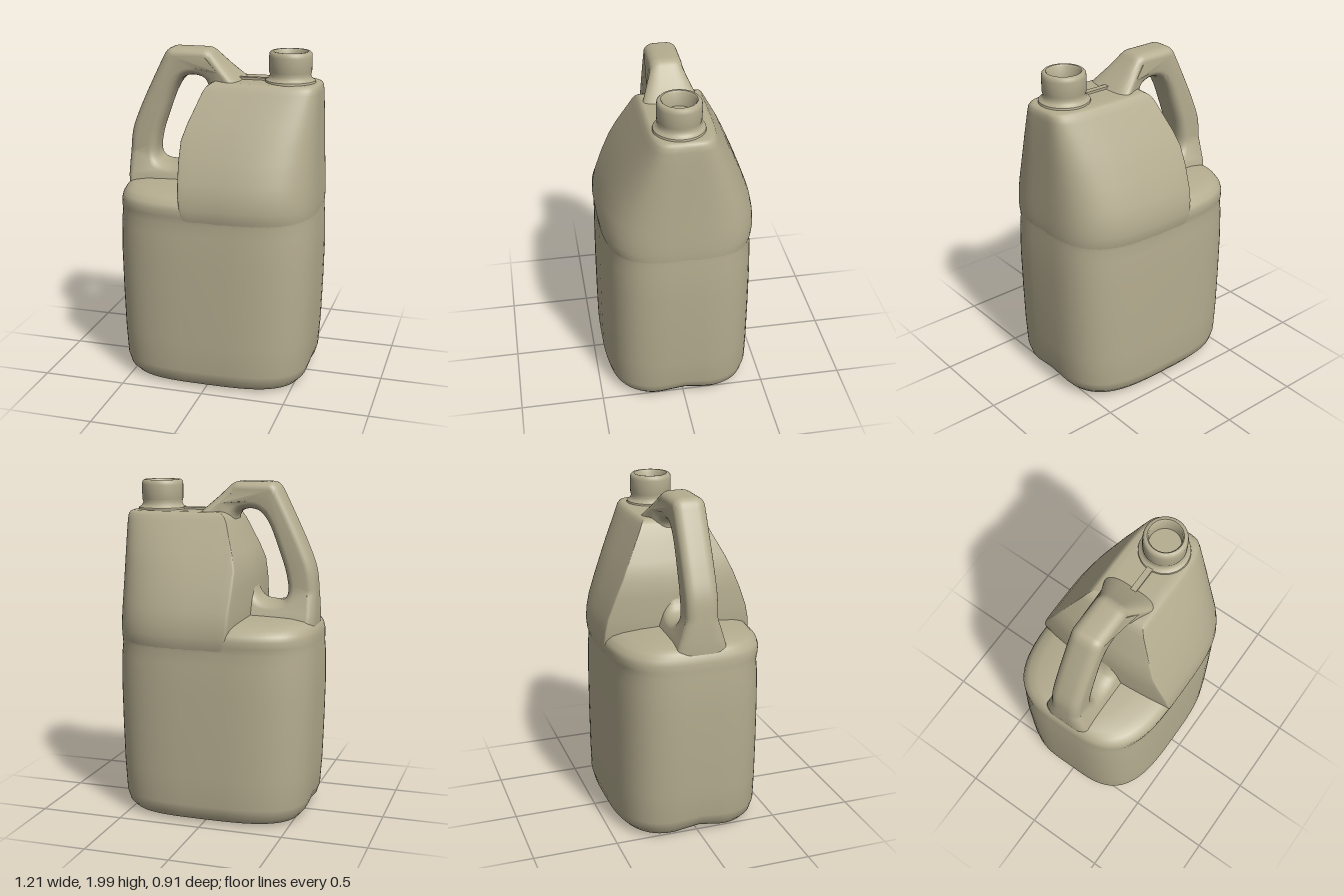
import * as THREE from 'three';
import { toCreasedNormals } from 'three/addons/utils/BufferGeometryUtils.js';

const V = (pts) => pts.map(([x, y]) => new THREE.Vector2(x, y));

// Closed loft through rings of { y, hx, hz, n }, each a superellipse; shape(p, ring) may adjust a point
function loft(rings, shape, seg = 72) {
  const pos = [], index = [];
  const p = new THREE.Vector3();
  const pow = (v, n) => Math.sign(v) * Math.abs(v) ** (2 / n);
  rings.forEach((r, i) => {
    for (let j = 0; j < seg; j++) {
      const t = (j / seg) * Math.PI * 2;
      p.set(r.hx * pow(Math.cos(t), r.n), r.y, r.hz * pow(Math.sin(t), r.n));
      shape(p, r);
      pos.push(p.x, p.y, p.z);
      if (i === rings.length - 1) continue;
      const a = i * seg + j, b = i * seg + (j + 1) % seg;
      index.push(a, a + seg, b, b, a + seg, b + seg);
    }
  });
  const g = new THREE.BufferGeometry();
  g.setAttribute('position', new THREE.Float32BufferAttribute(pos, 3));
  g.setIndex(index);
  g.computeVertexNormals();
  return g;
}

export function createModel() {
  const group = new THREE.Group();
  const plastic = new THREE.MeshStandardMaterial({ color: 0xb5ad90 });
  plastic.name = 'beige plastic';
  const add = (name, geo) => {
    const m = new THREE.Mesh(geo, plastic);
    m.name = name;
    group.add(m);
    return m;
  };

  // Lower body with rounded base and a gently domed shelf
  const lower = [
    [0.015, 0, 0], [0.01, 0.3, 0.22], [0.01, 0.48, 0.36], [0.025, 0.53, 0.405], [0.06, 0.56, 0.435],
    [0.12, 0.578, 0.45], [0.3, 0.59, 0.452], [0.55, 0.598, 0.452], [0.8, 0.603, 0.45], [0.97, 0.6, 0.446],
    [1.04, 0.594, 0.44], [1.08, 0.594, 0.448], [1.12, 0.592, 0.452], [1.15, 0.585, 0.442],
    [1.18, 0.568, 0.41], [1.2, 0.54, 0.35], [1.215, 0.47, 0.25], [1.225, 0.3, 0.12], [1.225, 0, 0],
  ].map(([y, hx, hz]) => ({ y, hx, hz, n: 3.3 }));
  add('lowerBody', loft(lower, (p) => {
    // shallow arch under each narrow end
    const fade = Math.max(0, 1 - p.y / 0.25);
    p.y += 0.04 * fade * Math.exp(-((p.z / 0.13) ** 2)) * (p.x / 0.55) ** 2;
  }));

  // Upper body: tapers front to back, cut away on the handle side at x0
  const upper = [
    [1.04, 0.59, 0.438, 3.3, -0.16], [1.08, 0.594, 0.45, 3.3, -0.18], [1.13, 0.596, 0.456, 3.3, -0.19],
    [1.2, 0.595, 0.45, 3.3, -0.2], [1.28, 0.593, 0.433, 3.3, -0.2], [1.4, 0.59, 0.388, 3.4, -0.198],
    [1.51, 0.588, 0.34, 3.6, -0.188], [1.6, 0.586, 0.297, 3.9, -0.155], [1.7, 0.584, 0.244, 4.4, -0.11],
    [1.77, 0.581, 0.207, 5, -0.08], [1.8, 0.577, 0.19, 5.4, -0.06], [1.815, 0.567, 0.177, 5.6, -0.04],
    [1.823, 0.55, 0.162, 5.6, -0.02], [1.825, 0.5, 0.12, 5.6, 0], [1.825, 0, 0, 5.6, 0],
  ].map(([y, hx, hz, n, x0]) => ({ y, hx, hz, n, x0 }));
  add('upperBody', loft(upper, (p, r) => {
    // smooth maximum rounds the cut corner
    const cut = r.x0 + 0.25 * p.z * p.z, d = p.x - cut;
    if (r.hx > 0) p.x = cut + (d + Math.sqrt(d * d + 0.0012)) / 2 - (d < 0 ? 0.006 : 0.006 * Math.max(0, 1 - d * 8));
    if (p.x > r.hx) p.x = r.hx;
  }, 120));

  // Handle: rounded slab with a finger hole, ramping down onto the top
  const outer = new THREE.Shape();
  outer.moveTo(0.13, 1.815);
  outer.lineTo(0.13, 1.1);
  outer.lineTo(-0.57, 1.1);
  outer.lineTo(-0.58, 1.22);
  outer.splineThru(V([[-0.575, 1.36], [-0.558, 1.5], [-0.505, 1.64], [-0.425, 1.81], [-0.355, 1.95]]));
  outer.quadraticCurveTo(-0.33, 2, -0.29, 2);
  outer.lineTo(-0.11, 2);
  outer.quadraticCurveTo(-0.07, 2, -0.045, 1.97);
  outer.lineTo(0.02, 1.908);
  outer.lineTo(0.1, 1.838);
  const hole = new THREE.Path();
  const holePts = [[-0.405, 1.35], [-0.38, 1.313], [-0.25, 1.313], [-0.2, 1.39], [-0.188, 1.51], [-0.135, 1.64],
    [-0.08, 1.765], [-0.1, 1.82], [-0.16, 1.842], [-0.225, 1.83], [-0.28, 1.77], [-0.35, 1.6], [-0.395, 1.46]];
  const curve = new THREE.CatmullRomCurve3(holePts.map(([x, y]) => new THREE.Vector3(x, y, 0)), true);
  hole.setFromPoints(curve.getPoints(52).slice(0, -1).map((p) => new THREE.Vector2(p.x, p.y)));
  outer.holes.push(hole);
  const slab = new THREE.ExtrudeGeometry(outer, {
    depth: 0.07, bevelThickness: 0.06, bevelSize: 0.045, bevelOffset: -0.045, bevelSegments: 6, curveSegments: 8,
  });
  slab.translate(0, 0, -0.035);
  const pos = slab.attributes.position;
  for (let i = 0; i < pos.count; i++) {
    const x = pos.getX(i), y = pos.getY(i);
    const ramp = THREE.MathUtils.clamp((x + 0.07) / 0.17, 0, 1) * 0.85;
    const foot = THREE.MathUtils.clamp((1.36 - y) / 0.15, 0, 1.4) * 0.5;
    pos.setZ(i, pos.getZ(i) * (1 + Math.max(ramp, foot)) + 0.006);
  }
  add('handle', toCreasedNormals(slab, 0.75));

  // Neck with collar and recessed mouth
  const neck = new THREE.LatheGeometry(V([
    [0.15, 1.81], [0.145, 1.835], [0.128, 1.845], [0.118, 1.865], [0.124, 1.885], [0.125, 1.97],
    [0.122, 1.99], [0.112, 2], [0.1, 2], [0.092, 1.99], [0.09, 1.91], [0, 1.91],
  ]), 40);
  add('neck', toCreasedNormals(neck, 0.8)).position.set(0.4, 0, 0.014);

  // Small mould rib between handle and neck
  add('topRib', new THREE.BoxGeometry(0.2, 0.025, 0.035)).position.set(0.19, 1.826, 0.014);

  return group;
}
